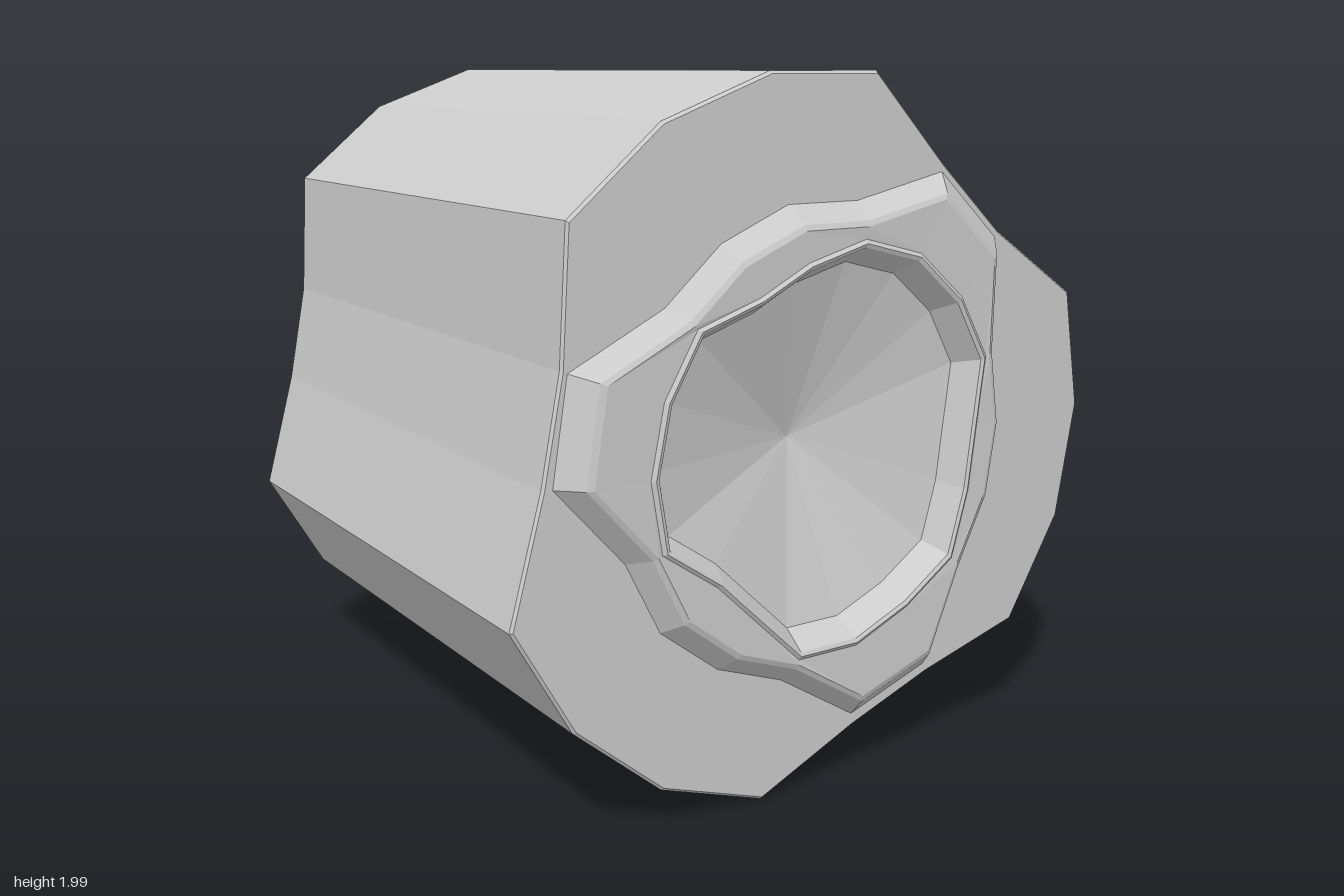
import * as THREE from 'three';

// Radii every 20 degrees, counter-clockwise seen from the front
const SIDES = 18, CX = -0.035, CY = 1;
const OUTLINE = [1.015, 1.015, 0.85, 0.86, 1.015, 1.015, 1.015, 1.015, 0.85, 0.855, 1.01, 1.01, 1.01, 1.005, 0.86, 0.86, 1.01, 1.015];
const FRONT_COLLAR = [0.615, 0.62, 0.765, 0.775, 0.62, 0.62, 0.61, 0.605, 0.77, 0.765, 0.61, 0.62, 0.61, 0.61, 0.76, 0.765, 0.635, 0.62];
const FRONT_CRATER = [0.52, 0.58, 0.58, 0.58, 0.56, 0.51, 0.49, 0.565, 0.565, 0.57, 0.57, 0.48, 0.49, 0.57, 0.57, 0.56, 0.58, 0.53];
const REAR_CREST = [0.40, 0.56, 0.60, 0.58, 0.565, 0.43, 0.36, 0.59, 0.60, 0.59, 0.58, 0.53, 0.38, 0.56, 0.57, 0.56, 0.51, 0.43];

const ring = (radii, scale, z) => ({ radii: radii.map(r => r * scale), z });

// Skin between successive rings, listed from front to back along the surface
function loft(name, rings, material) {
  const pos = [], idx = [];
  for (const { radii, z } of rings) {
    radii.forEach((r, i) => {
      const a = (i / SIDES) * Math.PI * 2;
      pos.push(CX + r * Math.cos(a), CY + r * Math.sin(a), z);
    });
  }
  for (let k = 0; k < rings.length - 1; k++) {
    for (let i = 0; i < SIDES; i++) {
      const j = (i + 1) % SIDES;
      const a = k * SIDES + i, b = k * SIDES + j;
      const c = a + SIDES, d = b + SIDES;
      if (rings[k].radii[0] > 0) idx.push(a, d, b);
      if (rings[k + 1].radii[0] > 0) idx.push(a, c, d);
    }
  }
  const geometry = new THREE.BufferGeometry();
  geometry.setAttribute('position', new THREE.Float32BufferAttribute(pos, 3));
  geometry.setIndex(idx);
  const flat = geometry.toNonIndexed();
  flat.computeVertexNormals();
  const mesh = new THREE.Mesh(flat, material);
  mesh.name = name;
  return mesh;
}

export function createModel() {
  const group = new THREE.Group();
  group.name = 'hollowedRockSection';
  const material = new THREE.MeshStandardMaterial({ color: 0xcccccc, flatShading: true });

  // Foot of the rear collar, kept inside the rear rim
  const rearFoot = {
    radii: REAR_CREST.map((r, i) => Math.min(r * 1.28, OUTLINE[i] * 0.86)),
    z: -0.7,
  };

  const parts = {
    // Concave bowl in the front face
    frontCrater: [
      ring(FRONT_CRATER, 0, 0.72),
      ring(FRONT_CRATER, 0.9, 0.85),
      ring(FRONT_CRATER, 0.98, 0.925),
      ring(FRONT_CRATER, 1, 0.93),
    ],
    // Raised collar round the bowl
    frontCollar: [
      ring(FRONT_CRATER, 1, 0.93),
      ring(FRONT_CRATER, 1.02, 0.922),
      ring(FRONT_COLLAR, 0.975, 0.925),
      ring(FRONT_COLLAR, 1, 0.918),
      ring(FRONT_COLLAR, 1.08, 0.86),
    ],
    // Flat front face, prism sides and rear rim
    hull: [
      ring(FRONT_COLLAR, 1.08, 0.86),
      ring(OUTLINE, 0.992, 0.86),
      ring(OUTLINE, 1, 0.852),
      ring(OUTLINE, 1, -0.852),
      ring(OUTLINE, 0.992, -0.86),
      ring(OUTLINE, 0.9, -0.86),
    ],
    // Sloping hollow inside the rear rim
    rearRecess: [ring(OUTLINE, 0.9, -0.86), rearFoot],
    // Raised rear collar
    rearCollar: [rearFoot, ring(REAR_CREST, 1, -0.93)],
    // Shallow bowl within the rear collar
    rearCrater: [ring(REAR_CREST, 1, -0.93), ring(REAR_CREST, 0.97, -0.92), ring(REAR_CREST, 0, -0.76)],
  };
  for (const [name, rings] of Object.entries(parts)) group.add(loft(name, rings, material));
  return group;
}
